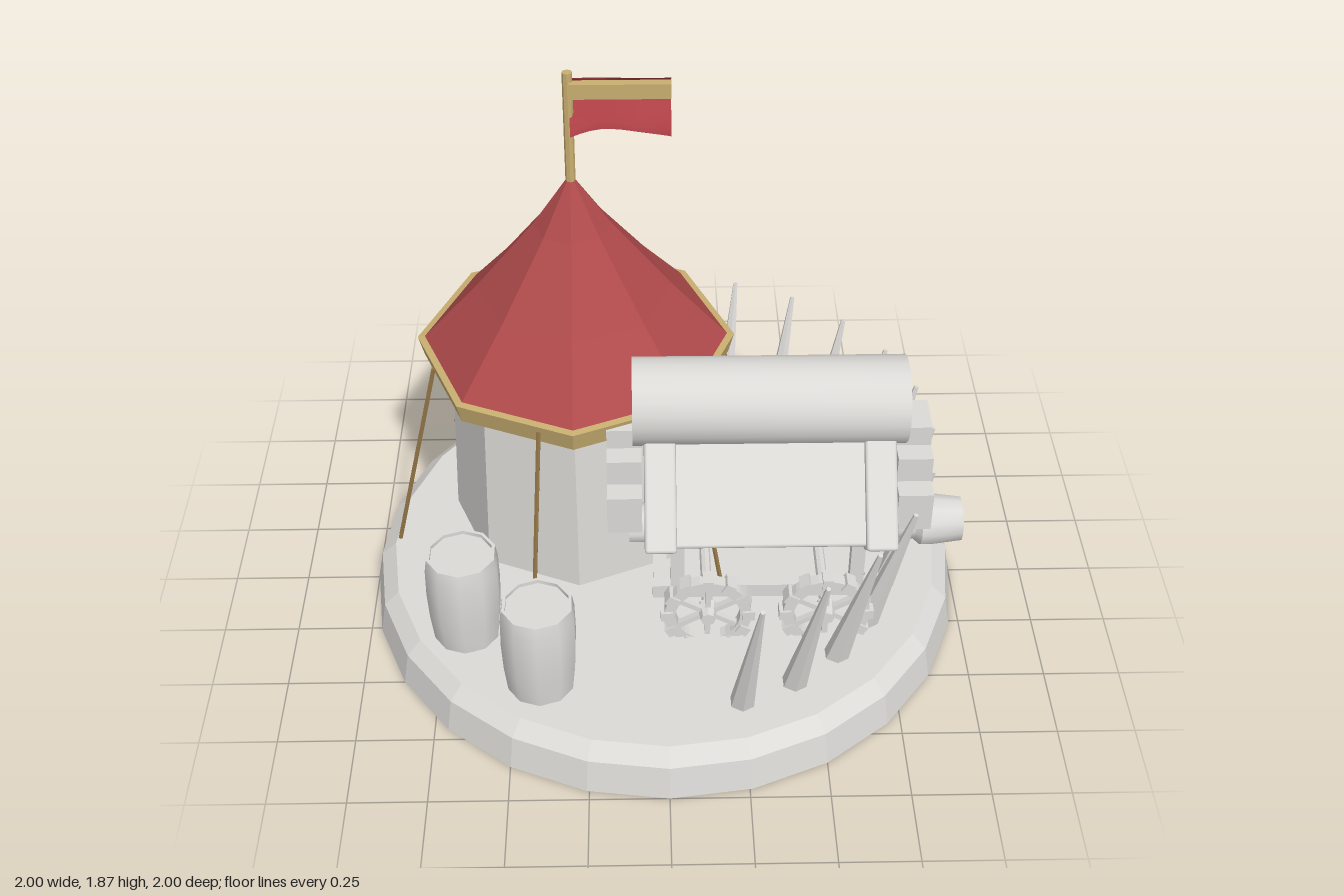
import * as THREE from 'three';
import { toCreasedNormals } from 'three/addons/utils/BufferGeometryUtils.js';
import { RoundedBoxGeometry } from 'three/addons/geometries/RoundedBoxGeometry.js';

const material = (name, color) => {
  const m = new THREE.MeshStandardMaterial({ color });
  m.name = name;
  return m;
};

export function createModel() {
  const model = new THREE.Group();
  model.name = 'siegeCamp';
  const grey = material('pale grey', 0xdcdad7);
  const red = material('tent red', 0xaf4a4b);
  const gold = material('gold trim', 0xc8ae70);
  const rope = material('rope brown', 0x8f7345);
  const cloth = material('flag red', 0xab3f45);
  cloth.side = THREE.DoubleSide;

  const add = (name, geo, mat, x = 0, y = 0, z = 0, parent = model) => {
    const mesh = new THREE.Mesh(geo, mat);
    mesh.name = name;
    mesh.position.set(x, y, z);
    parent.add(mesh);
    return mesh;
  };
  const group = (name, x = 0, y = 0, z = 0, parent = model) => {
    const g = new THREE.Group();
    g.name = name;
    g.position.set(x, y, z);
    parent.add(g);
    return g;
  };
  // Turned shape; a crease angle near zero gives flat facets
  const lathe = (points, sides, crease = 0.01) =>
    toCreasedNormals(new THREE.LatheGeometry(points.map(([r, y]) => new THREE.Vector2(r, y)), sides), crease);
  const block = (w, h, d) => new RoundedBoxGeometry(w, h, d, 1, 0.01);
  // Tapered rod between two points
  const rod = (name, a, b, ra, rb, sides, mat, parent = model) => {
    const from = new THREE.Vector3(...a), to = new THREE.Vector3(...b);
    const dir = to.clone().sub(from);
    const geo = toCreasedNormals(new THREE.CylinderGeometry(rb, ra, dir.length(), sides), 0.01);
    const mesh = add(name, geo, mat, 0, 0, 0, parent);
    mesh.position.copy(from).addScaledVector(dir, 0.5);
    mesh.quaternion.setFromUnitVectors(new THREE.Vector3(0, 1, 0), dir.normalize());
    return mesh;
  };

  // Round base
  add('base', lathe([[0, 0], [1, 0], [0.98, 0.115], [0.93, 0.16], [0, 0.16]], 24), grey);

  // Tent
  const tent = group('tent', -0.29, 0, -0.22);
  add('tentWall', lathe([[0.44, 0.15], [0.415, 0.84]], 8), grey, 0, 0, 0, tent);
  add('tentTrim', lathe([[0.4, 0.83], [0.508, 0.815], [0.526, 0.885], [0.49, 0.89]], 8), gold, 0, 0, 0, tent);
  add('tentRoof', lathe([[0.505, 0.885], [0.32, 1.09], [0.125, 1.33], [0, 1.515]], 8), red, 0, 0, 0, tent);
  for (let i = 0; i < 6; i++) {
    const a = THREE.MathUtils.degToRad(-17 + i * 60), c = Math.cos(a), s = Math.sin(a);
    rod('guyRope', [0.655 * c, 0.16, 0.655 * s], [0.485 * c, 0.86, 0.485 * s], 0.008, 0.008, 6, rope, tent);
  }
  rod('flagPole', [0, 1.48, 0], [0, 1.87, 0], 0.016, 0.016, 8, gold, tent);
  add('flagBar', new THREE.BoxGeometry(0.31, 0.05, 0.03), gold, 0.16, 1.815, 0.012, tent);

  // Rippling flag hung from the bar
  const flag = new THREE.PlaneGeometry(1, 1, 10, 10);
  const p = flag.attributes.position;
  for (let i = 0; i < p.count; i++) {
    const u = p.getX(i) + 0.5, v = 0.5 - p.getY(i);
    const hem = 0.17 - 0.03 * Math.sin(u * Math.PI) + 0.012 * u;
    p.setXYZ(i, 0.005 + 0.31 * u, 1.845 - v * hem,
      -0.005 - (0.075 - 0.02 * u) * Math.sin(v * Math.PI * 1.5) * (v < 0.67 ? 1 : 0.8) - 0.01 * v * Math.sin(u * 7));
  }
  flag.computeVertexNormals();
  add('flag', flag, cloth, 0, 0, 0, tent);

  // Barrels
  const barrel = lathe([[0, 0], [0.108, 0], [0.118, 0.1], [0.122, 0.2], [0.12, 0.3], [0.113, 0.345],
    [0.102, 0.345], [0.102, 0.332], [0, 0.332]], 10, 0.75);
  for (const [x, z] of [[-0.655, 0.42], [-0.405, 0.65], [0.595, -0.44]]) add('barrel', barrel, grey, x, 0.16, z);

  // Outward-leaning stakes
  for (let i = -5; i <= 5; i++) {
    const a = THREE.MathUtils.degToRad(i * 14.4), c = Math.cos(a), s = Math.sin(a);
    rod('stake', [0.75 * c, 0.15, 0.035 + 0.75 * s], [0.885 * c, 0.68, 0.035 + 0.885 * s], 0.042, 0.008, 6, grey);
  }

  // Covered battering ram, running along x
  const ram = group('batteringRam', 0.325, 0, 0.195);
  const ridge = toCreasedNormals(new THREE.CylinderGeometry(0.14, 0.14, 0.86, 20), 0.7);
  ridge.rotateZ(Math.PI / 2);
  add('ridgeLog', ridge, grey, 0, 0.933, 0, ram);
  for (const s of [-1, 1]) {
    const side = group('roofSide', 0, 0.735, s * 0.155, ram);
    side.rotation.x = s * 0.863;
    add('roofPanel', block(0.68, 0.06, 0.42), grey, 0, 0, 0, side);
    for (const e of [-1, 1]) add('roofStrap', block(0.1, 0.1, 0.45), grey, e * 0.345, 0, 0, side);
  }

  // Stepped gables at both ends
  const half = [[0.21, 0.57], [0.21, 0.71], [0.14, 0.71], [0.14, 0.8], [0.07, 0.8], [0.07, 0.87]];
  const inner = [[0.11, 0.57], [0.11, 0.65], [0.055, 0.65], [0.055, 0.71]];
  const flip = (list) => list.map(([x, y]) => [-x, y]);
  const outline = [...half, ...flip(half).reverse(), ...flip(inner), ...[...inner].reverse()];
  const gable = new THREE.ExtrudeGeometry(new THREE.Shape(outline.map(([x, y]) => new THREE.Vector2(x, y))),
    { depth: 0.11, bevelEnabled: false });
  gable.translate(0, 0, -0.055).rotateY(Math.PI / 2);
  for (const e of [-1, 1]) add('gable', gable, grey, e * 0.457, 0, 0, ram);

  // Ram beam with a rounded head
  const beam = lathe([[0, -0.12], [0.067, -0.12], [0.067, 0.82], [0.086, 0.84], [0.086, 0.88], [0.074, 0.975], [0, 0.98]], 12, 0.7);
  beam.rotateZ(-Math.PI / 2);
  add('ramBeam', beam, grey, -0.325, 0.422, 0, ram);

  // Chassis and posts
  for (const s of [-1, 1]) {
    add('sideRail', new THREE.BoxGeometry(0.74, 0.05, 0.04), grey, 0, 0.307, s * 0.19, ram);
    for (const e of [-1, 1]) add('post', new THREE.BoxGeometry(0.045, 0.34, 0.04), grey, e * 0.29, 0.46, s * 0.19, ram);
  }
  for (const e of [-1, 1]) {
    add('crossRail', new THREE.BoxGeometry(0.045, 0.05, 0.42), grey, e * 0.345, 0.307, 0, ram);
    rod('axle', [e * 0.192, 0.256, -0.25], [e * 0.192, 0.256, 0.25], 0.018, 0.018, 8, grey, ram);
  }

  // Studded spoked wheels
  const ring = new THREE.Shape().absarc(0, 0, 0.142, 0, Math.PI * 2);
  ring.holes.push(new THREE.Path().absarc(0, 0, 0.105, 0, Math.PI * 2, true));
  const rim = new THREE.ExtrudeGeometry(ring, { depth: 0.04, bevelEnabled: false, curveSegments: 16 });
  rim.translate(0, 0, -0.02);
  for (const e of [-1, 1]) for (const s of [-1, 1]) {
    const wheel = group('wheel', e * 0.192, 0.256, s * 0.25, ram);
    add('rim', rim, grey, 0, 0, 0, wheel);
    for (let i = 0; i < 12; i++) {
      const a = (i * Math.PI) / 6;
      const stud = add('rimStud', new THREE.BoxGeometry(0.04, 0.035, 0.054), grey, 0.133 * Math.cos(a), 0.133 * Math.sin(a), 0, wheel);
      stud.rotation.z = a;
    }
    for (let i = 0; i < 3; i++) {
      add('spoke', new THREE.BoxGeometry(0.22, 0.018, 0.02), grey, 0, 0, 0, wheel).rotation.z = Math.PI / 6 + (i * Math.PI) / 3;
    }
    rod('hub', [0, 0, -s * 0.025], [0, 0, s * 0.04], 0.033, 0.024, 8, grey, wheel);
  }
  return model;
}
